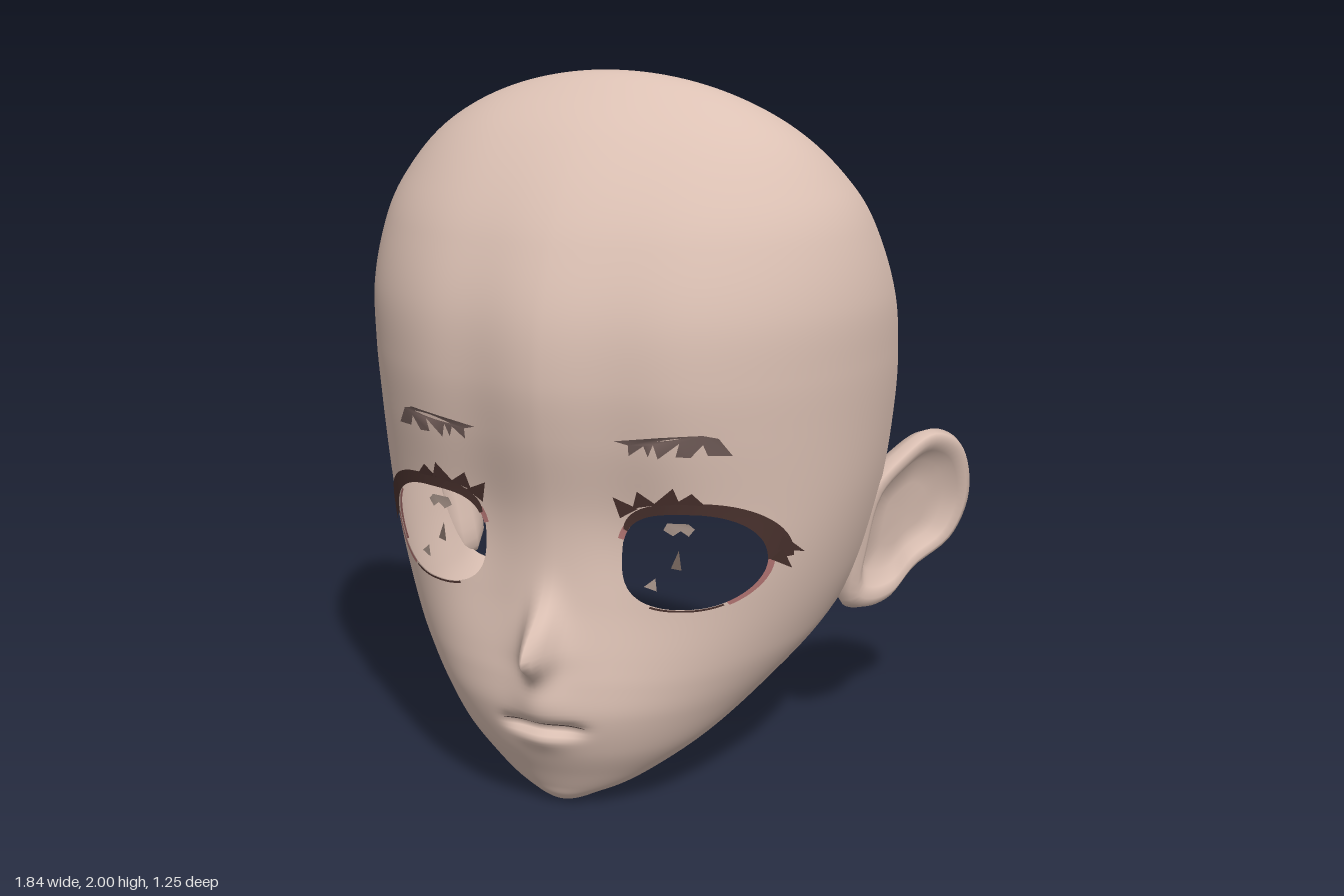
import * as THREE from 'three';
import { mergeVertices } from 'three/addons/utils/BufferGeometryUtils.js';

// Head profile rows: height, half width, front z, widest z, back edge z, back edge x
const ROWS = [
  [0, 0, 0.34, 0.34, 0.34, 0], [0.03, 0.1, 0.39, 0.31, 0.18, 0],
  [0.06, 0.175, 0.405, 0.27, 0.045, 0], [0.11, 0.26, 0.43, 0.21, -0.03, 0.14],
  [0.2, 0.38, 0.475, 0.1, -0.13, 0.28], [0.31, 0.49, 0.505, -0.05, -0.27, 0.41],
  [0.4, 0.567, 0.5, -0.15, -0.37, 0.53], [0.46, 0.605, 0.49, -0.19, -0.32, 0.6],
  [0.62, 0.67, 0.465, -0.24, -0.3, 0.67], [0.85, 0.725, 0.46, -0.25, -0.3, 0.725],
  [1.08, 0.755, 0.505, -0.25, -0.29, 0.755], [1.23, 0.765, 0.52, -0.23, -0.265, 0.765],
  [1.4, 0.76, 0.5, -0.19, -0.225, 0.76], [1.58, 0.715, 0.43, -0.15, -0.18, 0.715],
  [1.69, 0.66, 0.365, -0.13, -0.15, 0.66], [1.84, 0.52, 0.24, -0.08, -0.095, 0.52],
  [1.95, 0.31, 0.1, -0.045, -0.05, 0.31], [2, 0, -0.03, -0.03, -0.03, 0],
];
const toT = (y) => Math.acos(THREE.MathUtils.clamp(1 - y, -1, 1)) / Math.PI;
const KNOTS = ROWS.map((r) => toT(r[0]));

// Smooth (Hermite) lookup of the profile at a height
function profile(y) {
  const t = toT(y), last = ROWS.length - 1;
  let i = 0;
  while (i < last - 1 && KNOTS[i + 1] < t) i++;
  const h = KNOTS[i + 1] - KNOTS[i], u = (t - KNOTS[i]) / h;
  const slope = (k, c) => {
    const a = Math.max(k - 1, 0), b = Math.min(k + 1, last);
    return (ROWS[b][c] - ROWS[a][c]) / (KNOTS[b] - KNOTS[a]);
  };
  return [1, 2, 3, 4, 5].map((c) => {
    const p = ROWS[i][c], q = ROWS[i + 1][c];
    return p + (q - p) * u * u * (3 - 2 * u)
      + h * u * (1 - u) * (slope(i, c) * (1 - u) - slope(i + 1, c) * u);
  });
}

const bell = (d, s) => Math.exp(-(d * d) / (2 * s * s));
const roundness = (y) => 2 + 0.28 * bell(y - 0.7, 0.25);

// Nose, flattened brow planes, eye sockets and lips
function relief(x, y) {
  const ax = Math.abs(x);
  const nose = 0.14 * (0.75 * bell(ax, 0.026) + 0.25 * bell(ax, 0.055)) * bell(y - 0.5, y > 0.5 ? 0.075 : 0.045);
  const planes = -0.028 * bell(ax - 0.2, 0.09) * bell(y - 1, 0.4);
  const socket = -0.012 * bell(ax - 0.22, 0.1) * bell(y - 0.78, 0.12);
  const lips = 0.03 * bell(ax, 0.05) * bell(y - 0.36, 0.06) + 0.012 * bell(ax, 0.05) * bell(y - 0.235, 0.025);
  const slit = -0.04 * Math.exp(-Math.pow(ax / 0.11, 4)) * bell(y - 0.272, 0.014);
  return nose + planes + socket + lips + slit;
}

function surfaceZ(x, y) {
  const [w, zf, zw] = profile(y), n = roundness(y);
  const k = Math.min(Math.abs(x) / w, 1);
  return zw + (zf - zw) * Math.pow(1 - Math.pow(k, n), 1 / n) + relief(x, y);
}

// Eye opening: boxier towards the nose; the field is negative inside
const EYE = { x: 0.377, y: 0.755, rx: 0.178, ry: 0.135 };
const eyePower = (dx) => (dx > 0 ? 2.1 : 2.8);
function eyeField(p) {
  const dx = Math.abs(p.x) - EYE.x, n = eyePower(dx);
  return Math.pow(Math.abs(dx) / EYE.rx, n) + Math.pow(Math.abs(p.y - EYE.y) / EYE.ry, n) - 1;
}
function eyePoint(deg, grow) {
  const a = THREE.MathUtils.degToRad(deg), c = Math.cos(a), s = Math.sin(a), e = 2 / eyePower(c);
  return [EYE.x + EYE.rx * grow * Math.sign(c) * Math.pow(Math.abs(c), e),
    EYE.y + EYE.ry * grow * Math.sign(s) * Math.pow(Math.abs(s), e)];
}

// Open-backed head shell, clipped at the eye openings
function headGeometry() {
  const rows = 170, half = 96, front = 78, grid = [], out = [];
  for (let i = 0; i <= rows; i++) {
    const y = 1 - Math.cos(Math.PI * i / rows), [w, zf, zw, ze, edge] = profile(y), line = [];
    const e = 2 / roundness(y), xe = Math.max(edge, 0);
    for (let j = -half; j <= half; j++) {
      const k = Math.abs(j);
      let x, z;
      if (k <= front) {
        const a = (k / front) * Math.PI / 2;
        x = w * Math.pow(Math.sin(a), e);
        z = zw + (zf - zw) * Math.pow(Math.max(Math.cos(a), 0), e) + relief(x, y);
      } else {
        const a = ((k - front) / (half - front)) * Math.PI / 2;
        x = xe + (w - xe) * Math.cos(a);
        z = zw + (ze - zw) * Math.sin(a);
      }
      line.push(new THREE.Vector3(Math.sign(j) * x, y, z));
    }
    grid.push(line);
  }
  const addTriangle = (...tri) => {
    const f = tri.map(eyeField), poly = [];
    tri.forEach((p, i) => {
      const n = (i + 1) % 3;
      if (f[i] >= 0) poly.push(p);
      if (f[i] >= 0 !== f[n] >= 0) poly.push(p.clone().lerp(tri[n], f[i] / (f[i] - f[n])));
    });
    for (let i = 2; i < poly.length; i++) {
      for (const p of [poly[0], poly[i - 1], poly[i]]) out.push(p.x, p.y, p.z);
    }
  };
  for (let i = 0; i < rows; i++) {
    for (let j = 0; j < 2 * half; j++) {
      const a = grid[i][j], b = grid[i][j + 1], c = grid[i + 1][j + 1], d = grid[i + 1][j];
      addTriangle(a, b, c);
      addTriangle(a, c, d);
    }
  }
  const g = new THREE.BufferGeometry();
  g.setAttribute('position', new THREE.Float32BufferAttribute(out, 3));
  return smooth(g);
}

function smooth(g) {
  g.deleteAttribute('uv');
  g.deleteAttribute('normal');
  const merged = mergeVertices(g, 1e-5);
  merged.computeVertexNormals();
  return merged;
}

// Ear: a dished disc stretched to an outline of (z, y) points, thicker at its root
function earGeometry(side) {
  const outline = new THREE.CatmullRomCurve3([
    [-0.29, 0.82], [-0.36, 0.91], [-0.44, 0.965], [-0.53, 0.93], [-0.59, 0.84], [-0.62, 0.71],
    [-0.59, 0.595], [-0.49, 0.52], [-0.43, 0.435], [-0.36, 0.42], [-0.3, 0.45], [-0.28, 0.62],
  ].map(([z, y]) => new THREE.Vector3(0, y, z)), true);
  const dish = [[0, -0.075], [0.4, -0.075], [0.75, -0.065], [0.94, -0.035], [1, 0], [0.96, 0.025],
    [0.87, 0.033], [0.76, 0.02], [0.62, -0.012], [0.35, -0.02], [0, -0.015]];
  const g = new THREE.LatheGeometry(dish.map(([r, d]) => new THREE.Vector2(r, d)), 56);
  const pos = g.attributes.position;
  for (let i = 0; i < pos.count; i++) {
    const x = pos.getX(i), z = pos.getZ(i), r = Math.hypot(x, z);
    const rim = outline.getPoint((Math.atan2(x, z) / (2 * Math.PI) + 1) % 1);
    const pz = -0.45 + (rim.z + 0.45) * r, py = 0.7 + (rim.y - 0.7) * r;
    const depth = pos.getY(i) * (1 + 2 * Math.max(pz + 0.5, 0));
    pos.setXYZ(i, side * (0.68 + (-0.32 - pz) * 0.73 + (py - 0.7) * 0.2 + depth * 0.75), py, pz + depth * 0.5);
  }
  if (side > 0) {
    const idx = g.index.array;
    for (let i = 0; i < idx.length; i += 3) [idx[i], idx[i + 1]] = [idx[i + 1], idx[i]];
  }
  return smooth(g);
}

// Lay flat geometry on the face
function drape(g, lift) {
  const pos = g.attributes.position;
  for (let i = 0; i < pos.count; i++) pos.setZ(i, surfaceZ(pos.getX(i), pos.getY(i)) + lift);
  g.computeVertexNormals();
  return g;
}
const plate = (outlines, side, lift) => drape(new THREE.ShapeGeometry(outlines.map((pts) =>
  new THREE.Shape(pts.map(([x, y]) => new THREE.Vector2(side * x, y))))), lift);

// Strip between two edges, each a function of u in 0..1
function ribbon(inner, outer, side, lift) {
  const g = new THREE.PlaneGeometry(1, 1, 28, 3), pos = g.attributes.position;
  for (let i = 0; i < pos.count; i++) {
    const u = pos.getX(i) + 0.5, v = pos.getY(i) + 0.5, a = inner(u), b = outer(u);
    pos.setXY(i, side * (a[0] + (b[0] - a[0]) * v), a[1] + (b[1] - a[1]) * v);
  }
  if (side > 0) g.index.array.reverse();
  return drape(g, lift);
}
const eyeRibbon = (from, to, r0, r1, side, lift) => ribbon((u) => eyePoint(from + (to - from) * u, r0),
  (u) => eyePoint(from + (to - from) * u, r1(u)), side, lift);

export function createModel() {
  const model = new THREE.Group();
  const material = (name, color) => {
    const m = new THREE.MeshStandardMaterial({ color, side: THREE.DoubleSide });
    m.name = name;
    return m;
  };
  const skin = material('skin', 0xdcc1b4), lashes = material('lashes', 0x4a322e);
  const brows = material('brows', 0x705c58), mouth = material('mouth', 0xb57674);
  const glint = material('glint', 0xa8958b), darkGlint = material('darkGlint', 0x78675f);
  const add = (name, geometry, mat) => {
    const mesh = new THREE.Mesh(geometry, mat);
    mesh.name = name;
    model.add(mesh);
    return mesh;
  };

  add('head', headGeometry(), skin);

  const spikes = [[[0.2, 0.87], [0.185, 0.93], [0.25, 0.9]], [[0.235, 0.9], [0.25, 0.95], [0.3, 0.915]],
    [[0.285, 0.91], [0.345, 0.965], [0.36, 0.92]], [[0.345, 0.92], [0.39, 0.95], [0.42, 0.915]],
    [[0.575, 0.77], [0.625, 0.745], [0.585, 0.81]], [[0.56, 0.745], [0.6, 0.705], [0.585, 0.77]]];
  const brow = [[0.2, 1.09], [0.32, 1.105], [0.42, 1.11], [0.455, 1.1], [0.485, 1.05], [0.43, 1.055], [0.42, 1.085],
    [0.39, 1.05], [0.355, 1.053], [0.365, 1.09], [0.31, 1.045], [0.3, 1.085], [0.285, 1.05], [0.275, 1.08],
    [0.235, 1.05], [0.235, 1.08]];
  for (const [side, label] of [[1, 'left'], [-1, 'right']]) {
    add(label + 'Ear', earGeometry(side), skin);
    add(label + 'UpperLash', eyeRibbon(-4, 152, 0.99, (u) => 1.05 + 0.23 * Math.pow(1 - u * u, 0.7), side, 0.009), lashes);
    add(label + 'LashSpikes', plate(spikes, side, 0.014), lashes);
    add(label + 'LowerLash', eyeRibbon(-115, -65, 1, () => 1.04, side, 0.005), lashes);
    add(label + 'EyeCorner', eyeRibbon(-62, -2, 0.99, () => 1.07, side, 0.004), mouth);
    add(label + 'InnerCorner', eyeRibbon(145, 165, 0.99, () => 1.08, side, 0.004), mouth);
    add(label + 'LidLining', eyeRibbon(-35, 30, 0.99, () => 1.15, side, -0.01), mouth);
    add(label + 'Brow', plate([brow], side, 0.01), brows);

    // Small glints floating in the eye opening
    const cx = side * 0.345, s = side;
    const chips = [
      ['TopGlint', glint, [[s * 0.045, 0.845], [s * 0.03, 0.86], [s * -0.025, 0.86], [s * -0.035, 0.84],
        [s * -0.01, 0.825], [s * 0.01, 0.84], [s * 0.03, 0.825]]],
      ['MiddleGlint', darkGlint, [[0.005, 0.785], [0.012, 0.73], [-0.015, 0.735]]],
      ['LowerGlint', glint, [[-0.085, 0.68], [-0.05, 0.67], [-0.055, 0.705]]],
    ];
    for (const [name, mat, pts] of chips) {
      add(label + name, plate([pts.map(([x, y]) => [cx + x, y])], 1, 0), mat);
    }
  }

  // Mouth line, tongue and inner pocket
  const lip = (dy) => (u) => [(0.5 - u) * 0.25, 0.28 + dy * 4 * u * (1 - u)];
  add('mouthLine', ribbon(lip(-0.004), lip(0.009), 1, 0.004), brows);
  const tongue = add('tongue', new THREE.SphereGeometry(1, 24, 12), mouth);
  tongue.scale.set(0.15, 0.028, 0.11);
  tongue.position.set(0, 0.235, 0.31);
  const pocket = add('mouthPocket', new THREE.CylinderGeometry(1, 0.85, 1, 24, 1, true, Math.PI / 2, Math.PI), mouth);
  pocket.scale.set(0.17, 0.045, 0.12);
  pocket.position.set(0, 0.29, 0.41);
  return model;
}
